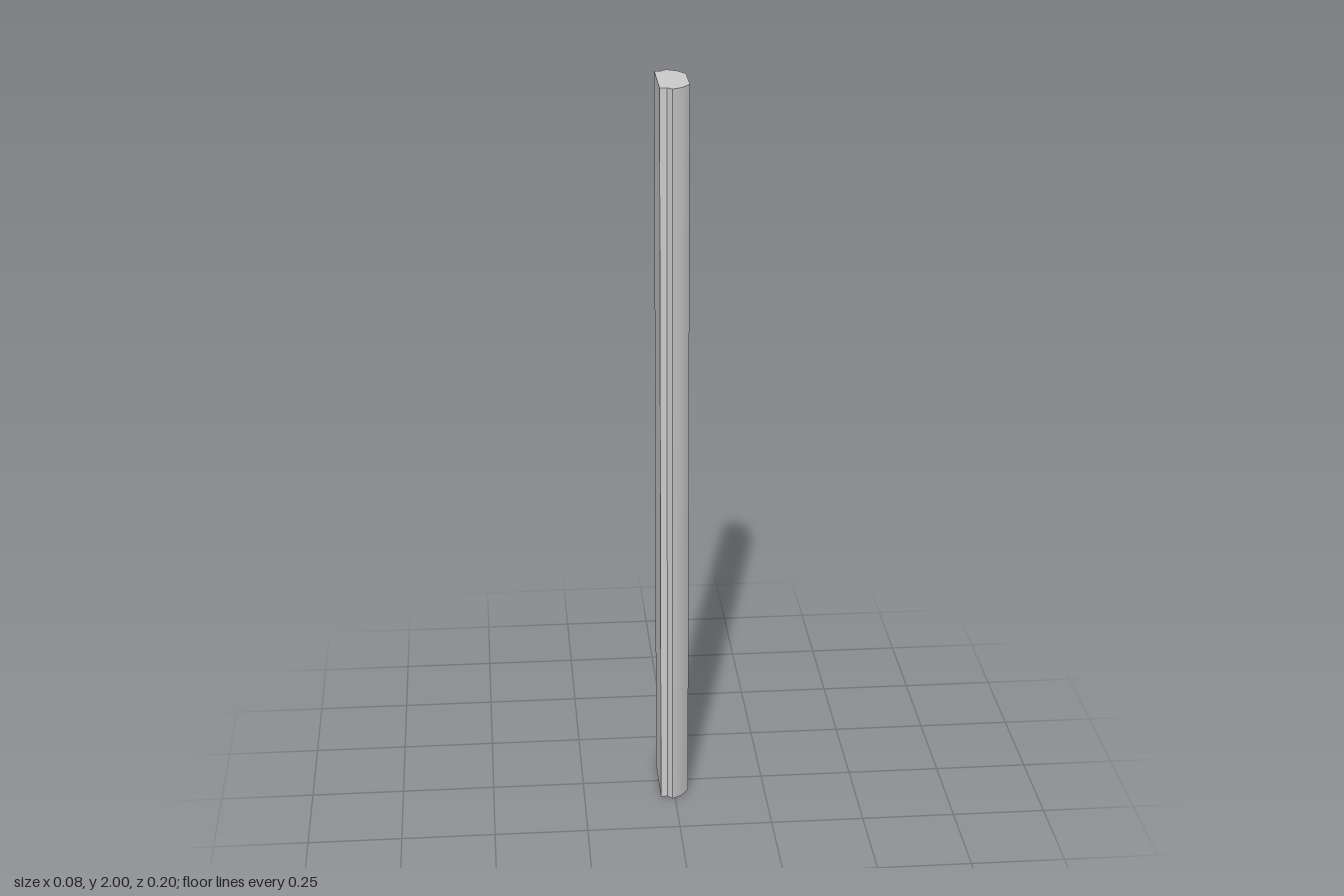
import * as THREE from 'three';
import { toCreasedNormals } from 'three/addons/utils/BufferGeometryUtils.js';

const HEIGHT = 2;

// Mesh from a list of four-cornered (or three-cornered) faces
function facesMesh(name, faces, material) {
  const pos = [];
  for (const f of faces) {
    for (let i = 1; i < f.length - 1; i++) pos.push(...f[0], ...f[i], ...f[i + 1]);
  }
  const geo = new THREE.BufferGeometry();
  geo.setAttribute('position', new THREE.Float32BufferAttribute(pos, 3));
  const mesh = new THREE.Mesh(toCreasedNormals(geo, 0.55), material);
  mesh.name = name;
  return mesh;
}

export function createModel() {
  const group = new THREE.Group();
  group.name = 'wallStrip';
  const material = new THREE.MeshStandardMaterial({ color: 0xcccccc });

  // Half cross-section (x, z), mirrored to the back half
  const half = [[-0.039, 0.088], [-0.021, 0.088], [-0.008, 0.102], [0.019, 0.086], [0.039, 0.055]];
  const profile = [...half, ...half.map(([x, z]) => [x, -z]).reverse()];
  const at = (i, y) => {
    const [x, z] = profile[i % profile.length];
    return [x, y, z];
  };

  // Moulded body, left open on the +x face; flat end caps
  const body = [];
  const caps = [];
  profile.forEach((_, i) => {
    const j = i + 1;
    if (i !== half.length - 1) body.push([at(i, 0), at(j, 0), at(j, HEIGHT), at(i, HEIGHT)]);
    caps.push([[0, HEIGHT, 0], at(i, HEIGHT), at(j, HEIGHT)]);
    caps.push([[0, 0, 0], at(j, 0), at(i, 0)]);
  });
  group.add(facesMesh('body', body, material), facesMesh('endCaps', caps, material));

  // Recess rings on the +x face: depth x, half width, inset from the ends
  const ring = (x, w, inset) => [
    [x, inset, w], [x, inset, -w], [x, HEIGHT - inset, -w], [x, HEIGHT - inset, w],
  ];
  const rings = [
    ring(0.039, 0.055, 0),
    ring(0.017, 0.037, 0.035),
    ring(0.017, 0.033, 0.039),
    ring(0.013, 0.033, 0.039),
  ];
  const bevels = [];
  for (let r = 0; r < rings.length - 1; r++) {
    const a = rings[r], b = rings[r + 1];
    for (let i = 0; i < 4; i++) {
      const j = (i + 1) % 4;
      bevels.push([a[i], a[j], b[j], b[i]]);
    }
  }
  group.add(facesMesh('recessFrame', bevels, material));
  group.add(facesMesh('recessedPanel', [rings[3]], material));

  return group;
}
